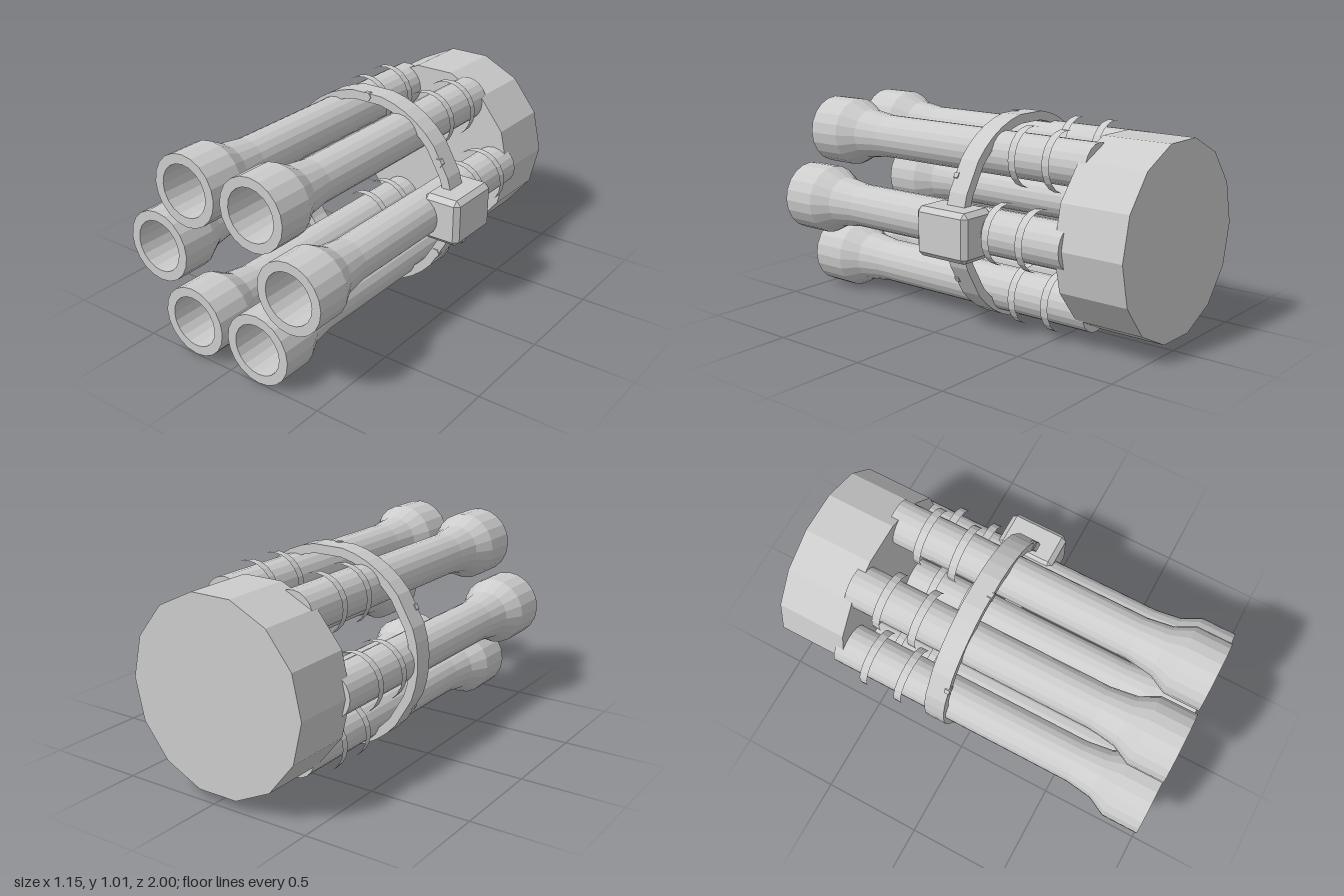
import * as THREE from 'three';
import { ConvexGeometry } from 'three/addons/geometries/ConvexGeometry.js';

const CX = -0.023, CY = 0.506;   // axis of the barrel cluster
const RING = 0.381;              // distance of each barrel from that axis

// Faceted normals
function faceted(geometry) {
  const g = geometry.index ? geometry.toNonIndexed() : geometry;
  g.computeVertexNormals();
  return g;
}

// Profile of [radius, z] points revolved around the z axis
function turned(points, sides) {
  const g = new THREE.LatheGeometry(points.map(([r, z]) => new THREE.Vector2(r, z)), sides);
  return faceted(g.rotateX(Math.PI / 2));
}

function polar(radius, angle) {
  return new THREE.Vector2(radius * Math.cos(angle), radius * Math.sin(angle));
}

// Hexagon whose corners are rounded off by arcs
function roundedHexagon(radius, PathType) {
  const pts = [], steps = 5, halfFlat = 0.165;
  for (let i = 0; i < 6; i++) {
    const start = -Math.PI / 6 + halfFlat + (i * Math.PI) / 3;
    for (let j = 0; j <= steps; j++) {
      pts.push(polar(radius, start + (j / steps) * (Math.PI / 3 - 2 * halfFlat)));
    }
  }
  return new PathType(pts);
}

// Box with all edges chamfered by c
function chamferedBox(w, h, d, c) {
  const pts = [];
  for (const x of [-1, 1]) for (const y of [-1, 1]) for (const z of [-1, 1]) {
    for (let axis = 0; axis < 3; axis++) {
      const inset = [c, c, c];
      inset[axis] = 0;
      pts.push(new THREE.Vector3(
        x * (w / 2 - inset[0]), y * (h / 2 - inset[1]), z * (d / 2 - inset[2])));
    }
  }
  return new ConvexGeometry(pts);
}

export function createModel() {
  const model = new THREE.Group();
  model.name = 'barrelCluster';
  const grey = new THREE.MeshStandardMaterial({ color: 0xcccccc });
  grey.name = 'light grey metal';

  const add = (name, geometry, x, y, z, parent = model) => {
    const mesh = new THREE.Mesh(geometry, grey);
    mesh.name = name;
    mesh.position.set(x, y, z);
    parent.add(mesh);
  };

  // Rear drum
  const drum = new THREE.CylinderGeometry(0.466, 0.466, 0.35, 14, 1, false, Math.PI / 2);
  add('rearDrum', faceted(drum.rotateX(Math.PI / 2)), CX, CY, -0.825);

  // Barrels with flared hollow muzzles, each with two thin open hoops
  const barrelGeo = turned([
    [0, -0.69], [0.108, -0.69], [0.108, 0.6], [0.126, 0.73], [0.173, 0.82],
    [0.173, 1], [0.126, 1], [0.123, 0.74], [0, 0.74],
  ], 20);
  const hoopGeo = turned([[0.144, -0.02], [0.144, 0.02]], 20);
  for (let i = 0; i < 6; i++) {
    const p = polar(RING, (i * Math.PI) / 3);
    const barrel = new THREE.Group();
    barrel.name = 'barrel' + (i + 1);
    barrel.position.set(CX + p.x, CY + p.y, 0);
    add('tube', barrelGeo, 0, 0, 0, barrel);
    for (const z of [-0.31, -0.5]) add('hoop', hoopGeo, 0, 0, z, barrel);
    model.add(barrel);
  }

  // Strap around all barrels
  const strap = roundedHexagon(0.506, THREE.Shape);
  strap.holes.push(roundedHexagon(0.461, THREE.Path));
  const strapGeo = new THREE.ExtrudeGeometry(strap, { depth: 0.105, bevelEnabled: false });
  add('strap', faceted(strapGeo), CX, CY, -0.165);

  // Hexagonal bolts on the strap's front, between the barrels
  const boltGeo = new THREE.CylinderGeometry(0.024, 0.024, 0.025, 6, 1, false, Math.PI / 2);
  boltGeo.rotateX(Math.PI / 2);
  const flatBolt = faceted(boltGeo);
  for (let i = 0; i < 6; i++) {
    const p = polar(0.483, Math.PI / 6 + (i * Math.PI) / 3);
    add('bolt', flatBolt, CX + p.x, CY + p.y, -0.068);
  }

  // Chamfered box clamped on the left side
  add('sideBox', chamferedBox(0.2, 0.236, 0.302, 0.024), 0.477, 0.508, -0.108);

  return model;
}
